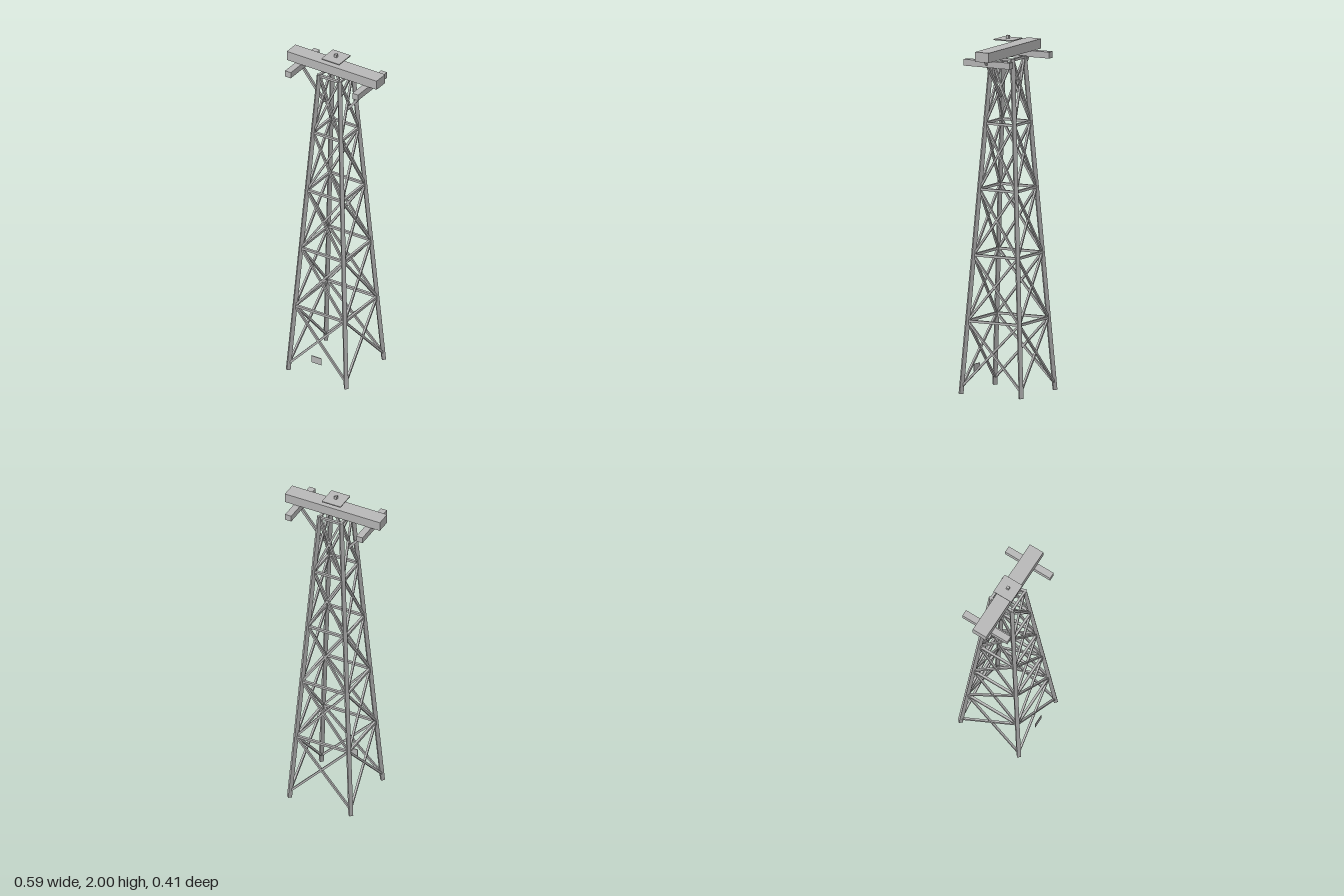
import * as THREE from 'three';

export function createModel() {
  const tower = new THREE.Group();
  tower.name = 'latticeTower';
  const steel = new THREE.MeshStandardMaterial({ color: 0xb8b8b8, flatShading: true });
  steel.name = 'grey steel';

  const box = (name, w, h, d, x, y, z) => {
    const mesh = new THREE.Mesh(new THREE.BoxGeometry(w, h, d), steel);
    mesh.name = name;
    mesh.position.set(x, y, z);
    tower.add(mesh);
    return mesh;
  };

  // Square bar running between two points
  const bar = (name, a, b, size) => {
    const mid = a.clone().add(b).multiplyScalar(0.5);
    const mesh = box(name, size, size, a.distanceTo(b), mid.x, mid.y, mid.z);
    mesh.lookAt(b);
    return mesh;
  };

  // Corner of the tapering frame at height y
  const height = 1.88;
  const corners = [[1, 1], [-1, 1], [-1, -1], [1, -1]];
  const corner = ([sx, sz], y) => {
    const r = THREE.MathUtils.lerp(0.191, 0.067, y / height);
    return new THREE.Vector3(sx * r, y, sz * r);
  };

  // Legs, then rings and crossed braces on each of the four faces
  const bottom = 0.04, bays = 5, step = (height - bottom) / bays;
  corners.forEach((c, i) => {
    const next = corners[(i + 1) % 4];
    bar('leg', corner(c, 0.001), corner(c, height), 0.022);
    for (let k = 0; k < bays; k++) {
      const y0 = bottom + k * step, y1 = y0 + step;
      bar('crossBrace', corner(c, y0), corner(next, y1), 0.012);
      bar('crossBrace', corner(next, y0), corner(c, y1), 0.012);
      const ringY = k === bays - 1 ? y1 - 0.006 : y1;
      bar('ringBar', corner(c, ringY), corner(next, ringY), 0.014);
    }
  });

  // Head beam with a cross arm and a slanting strut at each end
  box('headBeam', 0.592, 0.055, 0.088, 0, 1.915, 0);
  for (const s of [-1, 1]) {
    box('crossArm', 0.038, 0.036, 0.294, s * 0.222, 1.869, 0);
    bar('strut', new THREE.Vector3(s * 0.25, 1.885, 0), new THREE.Vector3(s * 0.075, 1.668, 0), 0.014);
  }

  // Raised cap plate and its knob
  box('capPlate', 0.117, 0.006, 0.117, 0, 1.978, 0);
  box('capKnob', 0.016, 0.02, 0.016, 0, 1.99, 0);

  // Small blank plate near the foot of the front face
  box('frontPlate', 0.066, 0.042, 0.004, 0, 0.124, 0.198);

  return tower;
}
